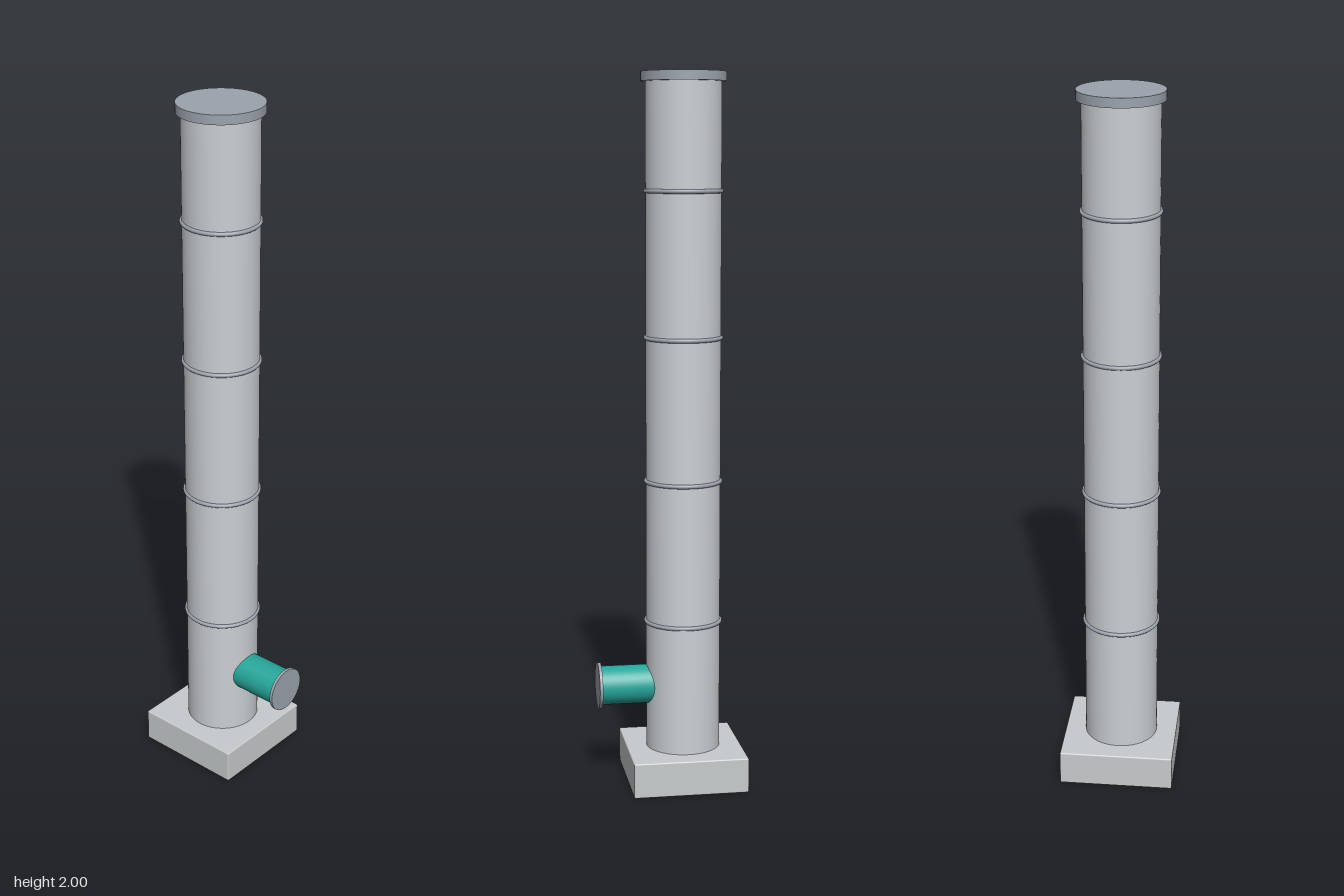
import * as THREE from 'three';
import { RoundedBoxGeometry } from 'three/addons/geometries/RoundedBoxGeometry.js';

const AXIS_Z = -0.042; // column axis
const COLUMN_R = 0.105;

function material(name, color) {
  const m = new THREE.MeshStandardMaterial({ color });
  m.name = name;
  return m;
}

export function createModel() {
  const group = new THREE.Group();
  group.name = 'column';
  const paleGrey = material('paleGrey', 0xcbcfd3);
  const baseGrey = material('baseGrey', 0xc8cbcd);
  const steel = material('steel', 0x9ca3ad);
  const teal = material('teal', 0x26a69a);

  function add(name, geometry, mat, x, y, z) {
    const mesh = new THREE.Mesh(geometry, mat);
    mesh.name = name;
    mesh.position.set(x, y, z);
    group.add(mesh);
    return mesh;
  }
  // Cylinder standing between two heights on the column axis
  function upright(name, radius, y0, y1, mat) {
    add(name, new THREE.CylinderGeometry(radius, radius, y1 - y0, 64), mat, 0, (y0 + y1) / 2, AXIS_Z);
  }
  // Cylinder lying along z between two depths
  function outward(name, radius, z0, z1, mat) {
    const geometry = new THREE.CylinderGeometry(radius, radius, z1 - z0, 48).rotateX(Math.PI / 2);
    add(name, geometry, mat, 0, 0.283, (z0 + z1) / 2);
  }

  // Square plinth with slightly softened edges
  add('base', new RoundedBoxGeometry(0.326, 0.1, 0.326, 2, 0.004), baseGrey, 0, 0.05, AXIS_Z);

  // Shaft and top flange
  upright('shaft', COLUMN_R, 0.095, 1.98, paleGrey);
  upright('topFlange', 0.118, 1.974, 2, steel);

  // Evenly spaced joint bands
  for (let i = 0; i < 4; i++) {
    const band = new THREE.TorusGeometry(COLUMN_R, 0.006, 12, 64).rotateX(Math.PI / 2);
    add('jointBand' + (i + 1), band, steel, 0, 0.467 + i * 0.404, AXIS_Z);
  }

  // Side inlet with its end flange
  outward('inletPipe', 0.055, 0.02, 0.197, teal);
  outward('inletFlange', 0.065, 0.195, 0.204, steel);

  return group;
}
